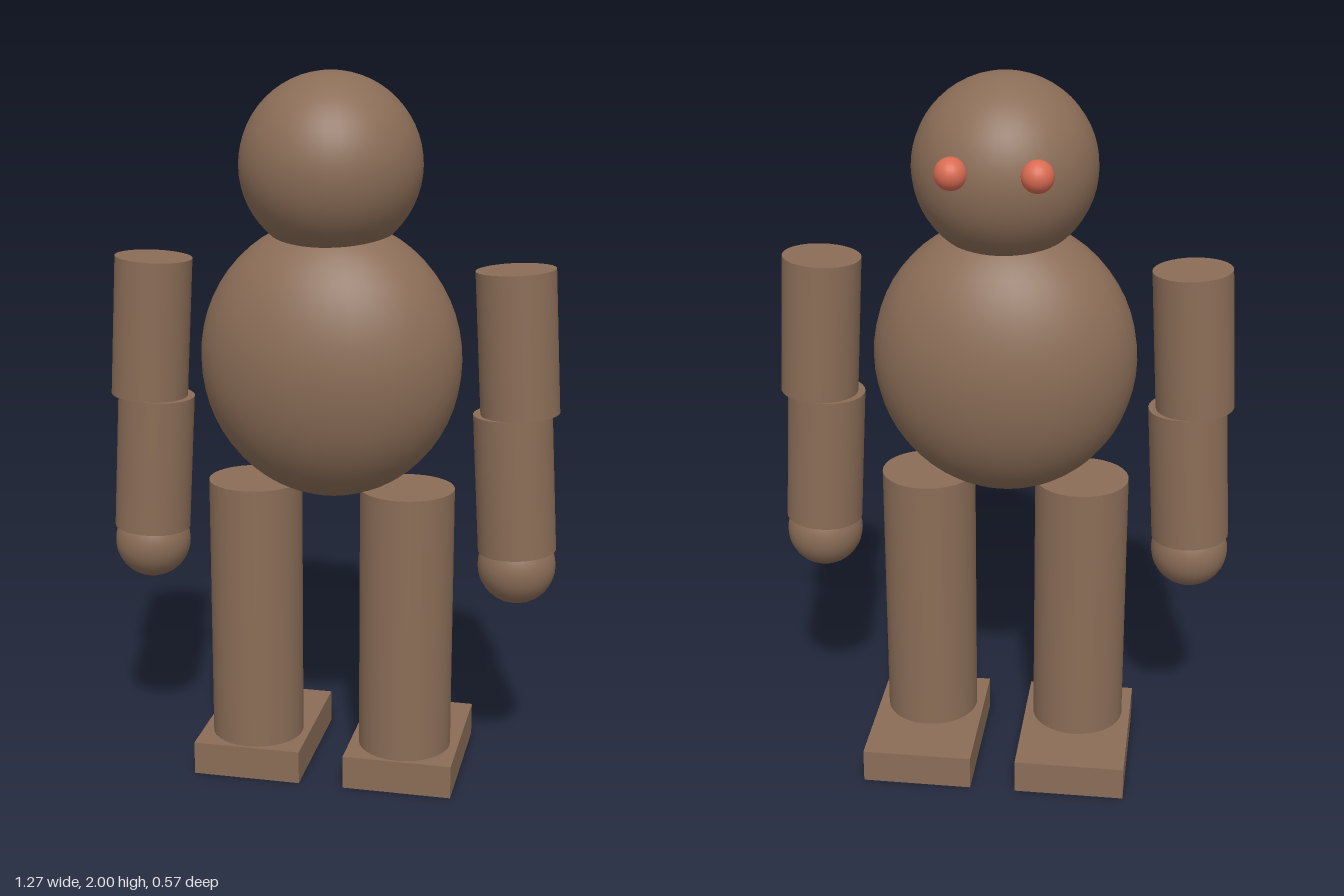
import * as THREE from 'three';

export function createModel() {
  const model = new THREE.Group();
  model.name = 'bearFigure';
  const fur = new THREE.MeshStandardMaterial({ color: 0x8b6d57 });
  fur.name = 'brown fur';
  const red = new THREE.MeshStandardMaterial({ color: 0xd96b52 });
  red.name = 'red eye';

  const Z = 0.012; // depth of the body's centre line

  function add(name, geometry, material, x, y, z) {
    const mesh = new THREE.Mesh(geometry, material);
    mesh.name = name;
    mesh.position.set(x, y, z);
    model.add(mesh);
    return mesh;
  }

  // A limb segment running between two heights, leaning outwards from xTop to xBottom
  function limb(name, radius, xTop, yTop, xBottom, yBottom) {
    const dx = xTop - xBottom, dy = yTop - yBottom;
    const geometry = new THREE.CylinderGeometry(radius, radius, Math.hypot(dx, dy), 32);
    const mesh = add(name, geometry, fur, (xTop + xBottom) / 2, (yTop + yBottom) / 2, Z);
    mesh.rotation.z = -Math.atan2(dx, dy);
  }

  // Head and egg-shaped body
  add('head', new THREE.SphereGeometry(0.248, 40, 28), fur, 0, 1.752, Z);
  const body = add('body', new THREE.SphereGeometry(1, 40, 28), fur, 0, 1.222, Z);
  body.scale.set(0.363, 0.387, 0.271);

  for (const [side, s] of [['left', 1], ['right', -1]]) {
    // Eyes look towards -z, the same way as the toes
    add(side + 'Eye', new THREE.SphereGeometry(0.043, 20, 14), red, s * 0.11, 1.787, -0.216);

    // Arms
    limb(side + 'UpperArm', 0.108, s * 0.503, 1.487, s * 0.525, 1.095);
    limb(side + 'Forearm', 0.108, s * 0.505, 1.095, s * 0.527, 0.706);
    add(side + 'Hand', new THREE.SphereGeometry(0.108, 28, 20), fur, s * 0.527, 0.662, Z);

    // Legs
    limb(side + 'Thigh', 0.132, s * 0.218, 0.864, s * 0.218, 0.474);
    limb(side + 'Shin', 0.132, s * 0.218, 0.474, s * 0.218, 0.09);
    add(side + 'Foot', new THREE.BoxGeometry(0.31, 0.096, 0.438), fur, s * 0.219, 0.048, -0.067);
  }

  return model;
}
